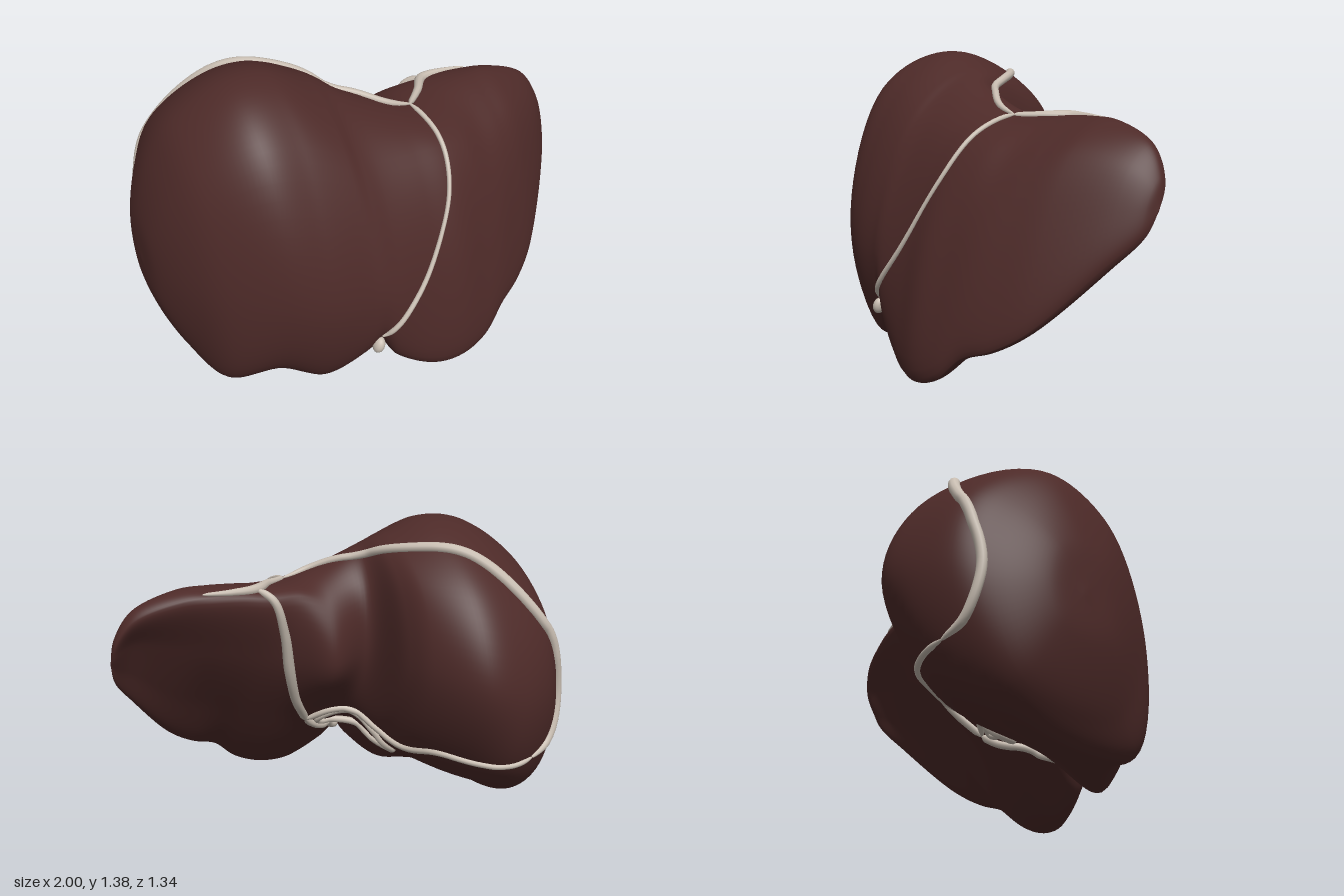
import * as THREE from 'three';
import { mergeVertices } from 'three/addons/utils/BufferGeometryUtils.js';

const V = (x, y, z) => new THREE.Vector3(x, y, z);

// Cross-sections: [x, then eight z,y pairs: top, front shoulder, front, lower front edge,
// underside, lower back, back, upper back]
const rightLobe = [
  [-0.985, -0.12, 0.78, 0, 0.73, 0.04, 0.55, 0, 0.39, -0.12, 0.35, -0.24, 0.4, -0.28, 0.55, -0.23, 0.72],
  [-0.9, -0.12, 1.06, 0.13, 0.95, 0.24, 0.55, 0.12, 0.17, -0.1, 0.11, -0.36, 0.21, -0.46, 0.55, -0.36, 0.88],
  [-0.8, -0.08, 1.22, 0.22, 1.08, 0.38, 0.55, 0.27, 0.06, -0.1, 0.005, -0.42, 0.17, -0.575, 0.6, -0.47, 0.97],
  [-0.6, -0.03, 1.355, 0.32, 1.2, 0.52, 0.55, 0.39, 0.12, -0.02, 0.1, -0.49, 0.23, -0.66, 0.65, -0.49, 1.08],
  [-0.42, 0, 1.37, 0.34, 1.18, 0.58, 0.5, 0.44, 0.035, 0.15, 0.14, -0.39, 0.28, -0.65, 0.7, -0.48, 1.12],
  [-0.25, 0.02, 1.305, 0.37, 1.1, 0.6, 0.5, 0.53, 0.17, 0.22, 0.24, -0.24, 0.37, -0.49, 0.75, -0.36, 1.12],
  [-0.19, 0.03, 1.275, 0.38, 1.06, 0.61, 0.5, 0.56, 0.25, 0.25, 0.31, -0.12, 0.42, -0.36, 0.75, -0.27, 1.1],
  [-0.12, 0.07, 1.23, 0.38, 1.04, 0.62, 0.47, 0.58, 0.13, 0.28, 0.34, 0.05, 0.46, -0.1, 0.75, -0.08, 1.08],
];
const leftLobe = [
  [0.06, 0.1, 1.145, 0.38, 1.02, 0.6, 0.55, 0.63, 0.025, 0.43, 0.13, 0.15, 0.42, -0.15, 0.72, -0.09, 1.03],
  [0.2, 0.12, 1.1, 0.38, 1.01, 0.6, 0.58, 0.65, 0.02, 0.47, 0.1, 0.19, 0.41, -0.05, 0.75, -0.08, 1.06],
  [0.33, 0.1, 1.095, 0.37, 0.99, 0.56, 0.62, 0.64, 0.07, 0.51, 0.12, 0.23, 0.43, 0, 0.77, -0.09, 1.06],
  [0.45, 0.08, 1.105, 0.34, 0.97, 0.52, 0.65, 0.6, 0.18, 0.52, 0.19, 0.26, 0.47, 0.03, 0.79, -0.08, 1.07],
  [0.57, 0.06, 1.11, 0.3, 0.98, 0.46, 0.68, 0.55, 0.23, 0.49, 0.23, 0.27, 0.51, 0.055, 0.81, -0.065, 1.07],
  [0.7, 0.04, 1.105, 0.24, 1.0, 0.39, 0.7, 0.47, 0.32, 0.42, 0.32, 0.25, 0.56, 0.08, 0.83, -0.04, 1.06],
  [0.9, 0.04, 1.03, 0.15, 0.95, 0.23, 0.78, 0.27, 0.58, 0.23, 0.57, 0.15, 0.72, 0.07, 0.87, 0, 0.99],
  [0.98, 0.06, 0.91, 0.1, 0.88, 0.14, 0.8, 0.16, 0.7, 0.14, 0.69, 0.1, 0.76, 0.06, 0.83, 0.04, 0.89],
];

// Smooth body: eight rails run tip to tip, closed rings are drawn through them
function bodyGeometry() {
  const sections = [...rightLobe, ...leftLobe];
  const rails = [];
  for (let k = 0; k < 8; k++) {
    const pts = sections.map((s) => V(s[0], s[2 + 2 * k], s[1 + 2 * k]));
    rails.push(new THREE.CatmullRomCurve3([V(-1, 0.55, -0.12), ...pts, V(1, 0.79, 0.09)]));
  }
  const N = 170, M = 80, pos = [], idx = [];
  for (let i = 0; i <= N; i++) {
    const t = i / N;
    const ring = new THREE.CatmullRomCurve3(rails.map((r) => r.getPoint(t)), true);
    for (let j = 0; j < M; j++) {
      const p = i === 0 || i === N ? rails[0].getPoint(t) : ring.getPoint(j / M);
      pos.push(p.x, p.y, p.z);
      if (i === N) continue;
      const a = i * M + j, b = i * M + ((j + 1) % M);
      if (i > 0) idx.push(a, b, a + M);
      if (i < N - 1) idx.push(b, b + M, a + M);
    }
  }
  let g = new THREE.BufferGeometry();
  g.setAttribute('position', new THREE.Float32BufferAttribute(pos, 3));
  g.setIndex(idx);
  g = mergeVertices(g, 1e-5);
  g.computeVertexNormals();
  return g;
}

// Drops a point onto the tangent plane of the nearest body vertex
function snap(p, body) {
  const P = body.attributes.position, Nn = body.attributes.normal;
  const v = V(0, 0, 0), n = V(0, 0, 0);
  let best = 0, bd = Infinity;
  for (let i = 0; i < P.count; i++) {
    const d = v.fromBufferAttribute(P, i).distanceToSquared(p);
    if (d < bd) { bd = d; best = i; }
  }
  v.fromBufferAttribute(P, best);
  n.fromBufferAttribute(Nn, best);
  return p.clone().addScaledVector(n, v.sub(p).dot(n) + 0.003);
}

// Tapered cord that hugs the body; radii run from start to middle to end
function cordGeometry(points, [r0, r1, r2], body, closed = false) {
  const guide = new THREE.CatmullRomCurve3(points.map((p) => V(...p)), closed);
  const count = points.length * 4;
  const hug = [];
  for (let i = 0; i < count; i++) {
    hug.push(snap(guide.getPoint(i / (closed ? count : count - 1)), body));
  }
  const path = new THREE.CatmullRomCurve3(hug, closed);
  const segs = 100, sides = 10;
  const g = new THREE.TubeGeometry(path, segs, 1, sides, closed);
  const P = g.attributes.position, v = V(0, 0, 0);
  for (let i = 0; i <= segs; i++) {
    const t = i / segs, c = path.getPointAt(closed ? t % 1 : t);
    let r = t < 0.5 ? THREE.MathUtils.lerp(r0, r1, t * 2) : THREE.MathUtils.lerp(r1, r2, t * 2 - 1);
    if (!closed) r *= Math.sqrt(Math.min(1, 0.1 + 20 * Math.min(t, 1 - t)));
    for (let j = 0; j <= sides; j++) {
      const k = i * (sides + 1) + j;
      v.fromBufferAttribute(P, k).sub(c).multiplyScalar(r).add(c);
      P.setXYZ(k, v.x, v.y, v.z);
    }
  }
  return g;
}

export function createModel() {
  const model = new THREE.Group();
  model.name = 'liver';
  const flesh = new THREE.MeshStandardMaterial({ color: 0x4d2a28 });
  const tissue = new THREE.MeshStandardMaterial({ color: 0xc8bdb1 });
  const add = (name, geometry, material) => {
    const mesh = new THREE.Mesh(geometry, material);
    mesh.name = name;
    model.add(mesh);
    return mesh;
  };

  const body = bodyGeometry();
  add('lobes', body, flesh);

  const cord = (name, points, radii, closed) => add(name, cordGeometry(points, radii, body, closed), tissue);

  // Thin seam down the front between the lobes
  cord('frontLigament', [[0.2, 1.1, 0.14], [0.215, 1.03, 0.34], [0.18, 0.87, 0.48], [0.1, 0.7, 0.56],
    [0, 0.53, 0.61], [-0.12, 0.38, 0.62], [-0.2, 0.28, 0.6]], [0.012, 0.009, 0.013]);
  // Band over the top, round the back of the right lobe
  cord('rightTopLigament', [[0.2, 1.1, 0.14], [0.08, 1.13, 0.13], [-0.08, 1.2, 0.03], [-0.25, 1.26, -0.18],
    [-0.5, 1.24, -0.37], [-0.76, 1.03, -0.56], [-0.86, 0.85, -0.54], [-0.88, 0.6, -0.5],
    [-0.82, 0.4, -0.54], [-0.72, 0.35, -0.56]], [0.014, 0.026, 0.018]);
  // Band along the underside to the central hilum
  cord('rightLowerLigament', [[-0.72, 0.35, -0.56], [-0.5, 0.36, -0.48], [-0.35, 0.37, -0.38],
    [-0.25, 0.33, -0.2], [-0.12, 0.4, 0], [0, 0.43, 0.1], [0.08, 0.39, 0.19]], [0.012, 0.016, 0.018]);
  // Left top band and its short outer arm
  cord('leftTopLigament', [[0.2, 1.1, 0.14], [0.3, 1.1, 0.05], [0.38, 1.1, -0.04], [0.48, 1.1, -0.06],
    [0.62, 1.1, -0.05]], [0.012, 0.024, 0.006]);
  // Band down the back between the lobes
  cord('backLigament', [[0.38, 1.1, -0.05], [0.32, 1.05, -0.1], [0.27, 0.9, -0.08], [0.23, 0.72, -0.02],
    [0.17, 0.55, 0.07], [0.08, 0.39, 0.19]], [0.016, 0.026, 0.02]);
  // Round cord from the hilum to the front notch, ending in a small knob
  cord('roundLigament', [[0.08, 0.39, 0.19], [-0.04, 0.34, 0.3], [-0.15, 0.28, 0.45], [-0.19, 0.25, 0.55]],
    [0.02, 0.018, 0.02]);
  const knob = add('roundLigamentEnd', new THREE.SphereGeometry(0.028, 20, 14), tissue);
  knob.scale.set(0.9, 1.4, 1.1);
  knob.position.set(-0.215, 0.24, 0.585);
  knob.rotation.z = -0.35;
  // Ring on the underside
  cord('undersideRing', [[0.02, 0.39, 0.2], [-0.18, 0.27, 0.12], [-0.32, 0.25, 0.06], [-0.33, 0.3, 0],
    [-0.2, 0.37, 0], [-0.06, 0.42, 0.08]], [0.016, 0.02, 0.016], true);

  return model;
}
